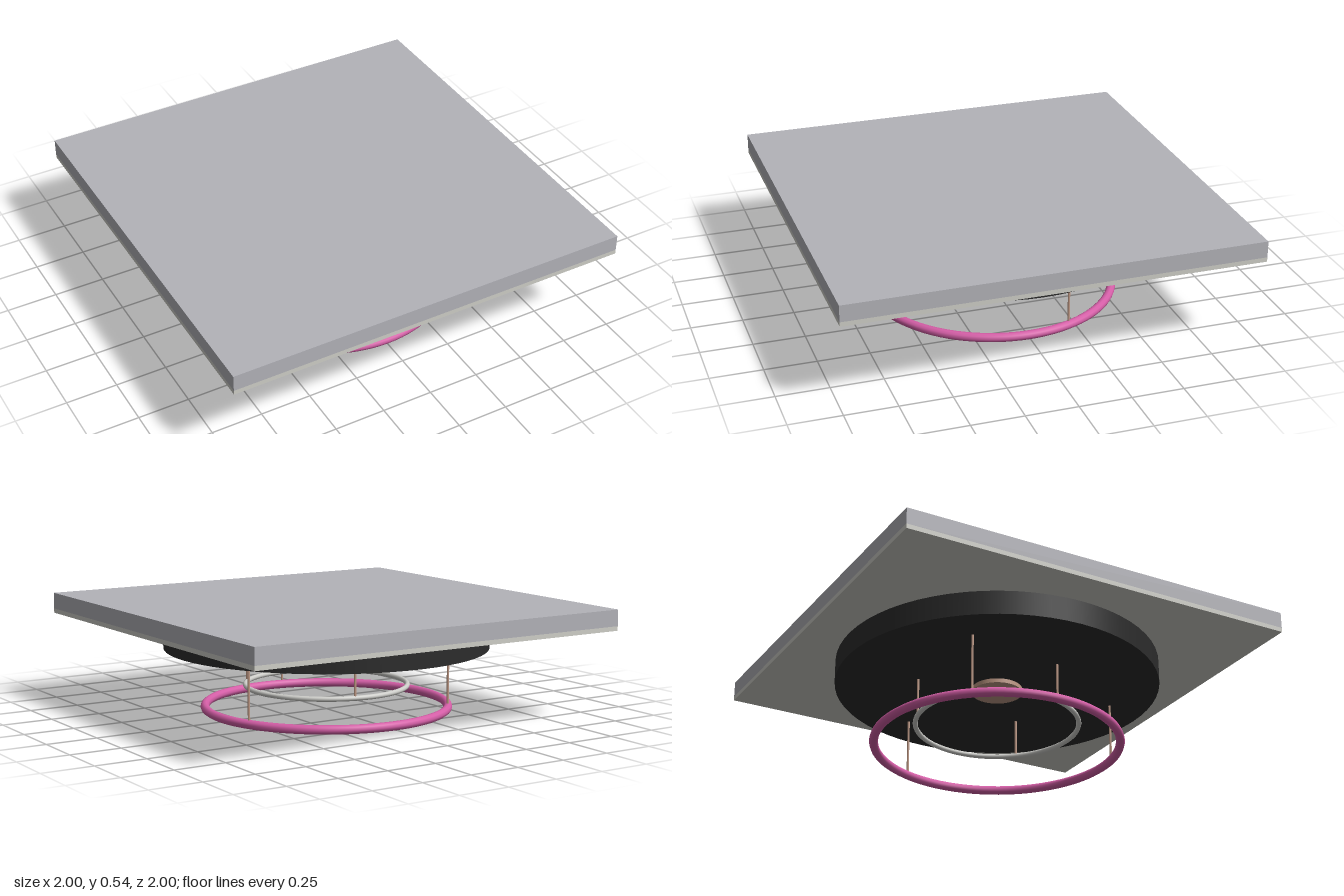
import * as THREE from 'three';

const colour = (name, color) => {
  const m = new THREE.MeshStandardMaterial({ color });
  m.name = name;
  return m;
};

export function createModel() {
  const root = new THREE.Group();
  root.name = 'ceilingLamp';
  const grey = colour('slab grey', 0xb3b3b9);
  const plaster = colour('pale plaster', 0xcfcfc8);
  const black = colour('matt black', 0x2c2c2c);
  const copper = colour('copper', 0xc09a86);
  const pink = colour('pink', 0xd65fa8);
  const white = colour('pale ring', 0xcfcfcb);

  const add = (name, geometry, material, x, y, z) => {
    const mesh = new THREE.Mesh(geometry, material);
    mesh.name = name;
    mesh.position.set(x, y, z);
    root.add(mesh);
    return mesh;
  };

  // Ceiling slab with a pale lower layer
  add('ceilingSlab', new THREE.BoxGeometry(2, 0.08, 2), grey, 0, 0.5, 0);
  add('ceilingLining', new THREE.BoxGeometry(2, 0.022, 2), plaster, 0, 0.449, 0);

  // Round housing and the small canopy below it
  add('housing', new THREE.CylinderGeometry(0.8, 0.8, 0.12, 64), black, 0, 0.379, 0);
  add('canopy', new THREE.CylinderGeometry(0.125, 0.125, 0.022, 32), copper, 0, 0.309, 0);

  // A ring hung on three evenly spaced wires
  const hungRing = (name, radius, tube, y, material, startDegrees) => {
    add(name, new THREE.TorusGeometry(radius, tube, 10, 96), material, 0, y, 0).rotation.x = Math.PI / 2;
    const length = 0.32 - y;
    for (let i = 0; i < 3; i++) {
      const a = THREE.MathUtils.degToRad(startDegrees + i * 120);
      add(name + 'Wire' + (i + 1), new THREE.CylinderGeometry(0.006, 0.006, length, 8), copper,
        radius * Math.cos(a), y + length / 2, radius * Math.sin(a));
    }
  };
  hungRing('outerRing', 0.6, 0.022, 0.022, pink, -20);
  hungRing('innerRing', 0.4, 0.0125, 0.127, white, 43);

  return root;
}
